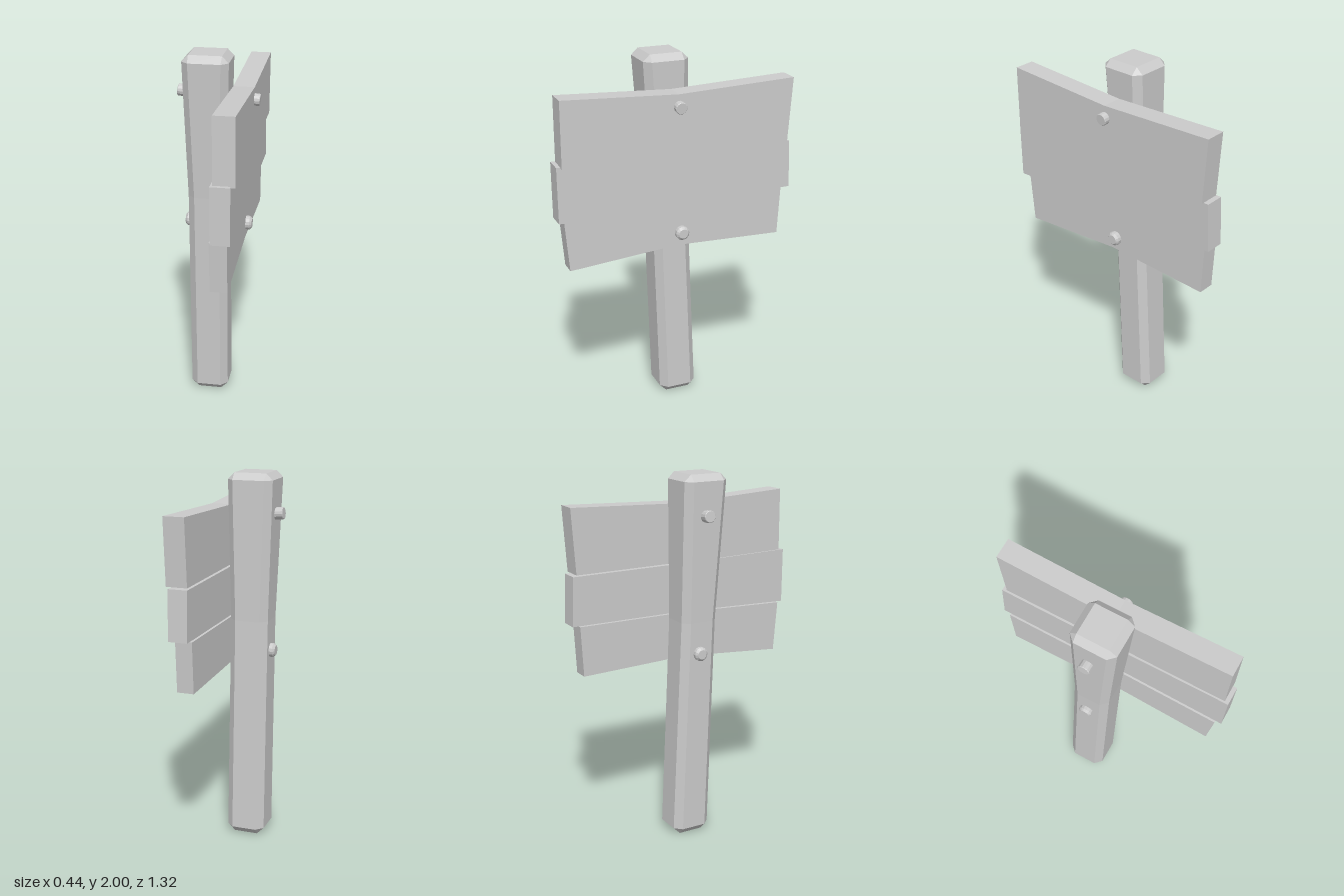
import * as THREE from 'three';

const material = new THREE.MeshStandardMaterial({ color: 0xcccccc, flatShading: true });

// Ring of eight corners: a rectangle with corners cut by c (c = 0 gives a plain rectangle)
function ring([y, x0, x1, z0, z1, c]) {
  return [
    [x0 + c, y, z1], [x1 - c, y, z1], [x1, y, z1 - c], [x1, y, z0 + c],
    [x1 - c, y, z0], [x0 + c, y, z0], [x0, y, z0 + c], [x0, y, z1 - c],
  ];
}

// Skin stacked rings into a closed solid
function loft(sections) {
  const n = 8;
  const positions = sections.flatMap(ring).flat();
  const index = [];
  for (let s = 0; s < sections.length - 1; s++) {
    for (let i = 0; i < n; i++) {
      const a = s * n + i, b = s * n + (i + 1) % n;
      index.push(a, b, b + n, a, b + n, a + n);
    }
  }
  const top = (sections.length - 1) * n;
  for (let i = 1; i < n - 1; i++) {
    index.push(0, i + 1, i, top, top + i, top + i + 1);
  }
  const geometry = new THREE.BufferGeometry();
  geometry.setAttribute('position', new THREE.Float32BufferAttribute(positions, 3));
  geometry.setIndex(index);
  const flat = geometry.toNonIndexed();
  flat.computeVertexNormals();
  return flat;
}

// Plank outlined by [z, y] points, spanning x0 to x1
function plank(outline, x0, x1) {
  const shape = new THREE.Shape(outline.map(([z, y]) => new THREE.Vector2(-z, y)));
  const geometry = new THREE.ExtrudeGeometry(shape, { depth: x1 - x0, bevelEnabled: false });
  return geometry.rotateY(Math.PI / 2).translate(x0, 0, 0);
}

// Round peg between two points, with its end rims cut by bevel
function peg(from, to, r, bevel) {
  const a = new THREE.Vector3(...from), b = new THREE.Vector3(...to);
  const h = a.distanceTo(b) / 2;
  const profile = [[0, -h], [r - bevel, -h], [r, -h + bevel], [r, h - bevel], [r - bevel, h], [0, h]];
  const geometry = new THREE.LatheGeometry(profile.map(([x, y]) => new THREE.Vector2(x, y)), 14);
  const turn = new THREE.Quaternion().setFromUnitVectors(
    new THREE.Vector3(0, 1, 0), b.clone().sub(a).normalize());
  const mid = a.add(b).multiplyScalar(0.5);
  return geometry.applyQuaternion(turn).translate(mid.x, mid.y, mid.z);
}

export function createModel() {
  const group = new THREE.Group();
  const add = (name, geometry) => {
    const mesh = new THREE.Mesh(geometry, material);
    mesh.name = name;
    group.add(mesh);
  };

  // Leaning post, wider towards the top, with bevelled ends
  add('post', loft([
    [0, -0.12, 0.01, -0.125, 0.01, 0],
    [0.04, -0.16, 0.05, -0.165, 0.05, 0.038],
    [1.22, -0.16, 0.048, -0.112, 0.094, 0.037],
    [1.965, -0.18, 0.065, -0.105, 0.145, 0.037],
    [2, -0.145, 0.03, -0.068, 0.107, 0],
  ]));

  // Three crooked planks on the left side of the post
  add('topPlank', plank([
    [0.64, 1.855], [0.01, 1.822], [-0.643, 1.847], [-0.62, 1.498], [0, 1.502], [0.64, 1.502],
  ], 0.073, 0.185));
  add('middlePlank', plank([
    [0.663, 1.51], [0.02, 1.497], [-0.643, 1.493], [-0.655, 1.23], [0, 1.229], [0.66, 1.207],
  ], 0.063, 0.165));
  add('bottomPlank', plank([
    [0.627, 1.204], [0, 1.226], [-0.617, 1.227], [-0.603, 0.955], [0, 0.976], [0.603, 0.927],
  ], 0.053, 0.143));

  // Pegs running through post and planks
  add('topPeg', peg([-0.219, 1.79, 0.005], [0.215, 1.754, 0.008], 0.032, 0.003));
  add('bottomPeg', peg([-0.19, 1.05, -0.022], [0.176, 1.048, -0.024], 0.038, 0.012));

  return group;
}
